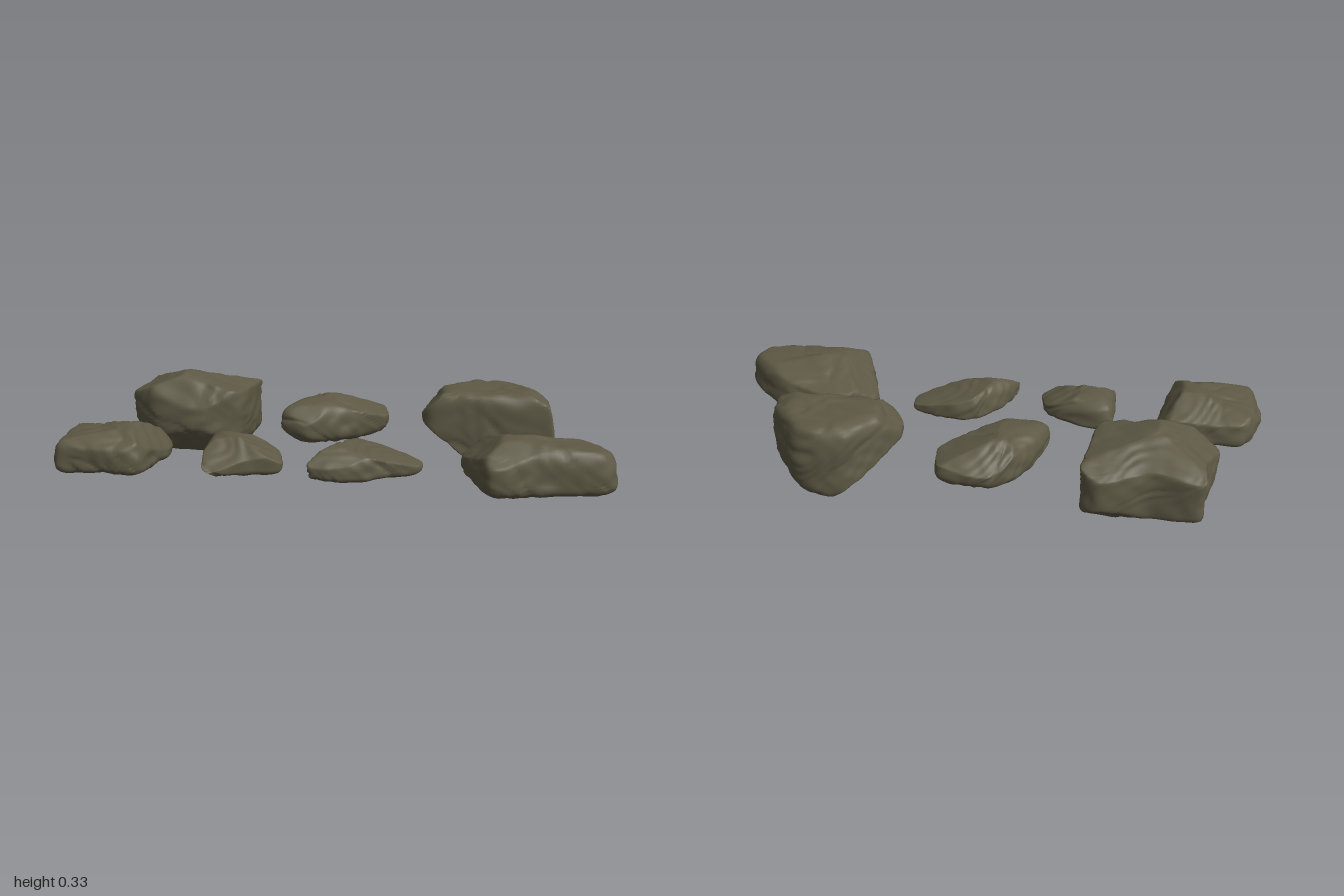
import * as THREE from 'three';

const stone = new THREE.MeshStandardMaterial({ color: 0x5e5945 });
stone.name = 'mossyStone';

const AROUND = 96, ROWS = 48;

// Flat chisel cuts: a point on the face, and the tilt of its normal from the axis towards up
function cut(axis, along, y, degrees) {
  const a = THREE.MathUtils.degToRad(degrees);
  const n = axis.clone().multiplyScalar(Math.cos(a));
  n.y = Math.sin(a);
  return { n, d: along * Math.cos(a) + y * Math.sin(a) };
}
const cutX = (x, y, degrees) => cut(new THREE.Vector3(1, 0, 0), x, y, degrees);
const cutZ = (z, y, degrees) => cut(new THREE.Vector3(0, 0, 1), z, y, degrees);

// Weathered surface: broad undulation, fine pitting and a few narrow cracks
function weather({ x, y, z }, seed) {
  const broad = Math.sin(19 * x + 11 * y + seed) * Math.sin(23 * z - 9 * y + seed * 2)
    + 0.6 * Math.sin(37 * y + 17 * x - 13 * z + seed * 3);
  const fine = Math.sin(61 * x + 4 * broad + seed) * Math.sin(53 * z + 47 * y + 2 * broad);
  const crack = Math.pow(1 - Math.abs(Math.sin(14 * y + 9 * x - 8 * z + 0.6 * broad + seed)), 8);
  return 0.004 * broad + 0.003 * fine - 0.007 * crack;
}

// A rock: plan outline [x, z], lowest, widest and highest level, boxiness and cuts
function makeRock(name, outline, low, waist, high, box, cuts) {
  const corners = outline.map(([x, z]) => new THREE.Vector3(x, 0, z));
  const rim = new THREE.CatmullRomCurve3(corners, true, 'catmullrom', 0.3).getSpacedPoints(AROUND).slice(0, AROUND);
  const centre = rim.reduce((sum, p) => sum.add(p), new THREE.Vector3()).divideScalar(AROUND);
  centre.y = (low + high) / 2;
  const seed = centre.x * 9 + centre.z * 5;

  const positions = [], index = [];
  const addPoint = (p) => {
    for (const { n, d } of cuts) p.addScaledVector(n, -0.93 * Math.max(0, p.dot(n) - d));
    const out = p.clone().sub(centre).normalize();
    p.addScaledVector(out, weather(p, seed));
    positions.push(p.x, Math.max(p.y, 0), p.z);
  };

  // Rounded-box profile swept around the outline, from the underside to the top
  for (let j = 1; j < ROWS; j++) {
    const a = -Math.PI / 2 + (Math.PI * j) / ROWS;
    const c = Math.cos(a), s = Math.sin(a);
    const k = Math.pow(Math.pow(Math.abs(c), box) + Math.pow(Math.abs(s), box), -1 / box);
    for (const r of rim) {
      const p = centre.clone().lerp(r, c * k);
      p.y = waist + s * k * (s > 0 ? high - waist : waist - low);
      addPoint(p);
    }
  }
  addPoint(new THREE.Vector3(centre.x, low, centre.z));
  addPoint(new THREE.Vector3(centre.x, high, centre.z));

  const bottom = (ROWS - 1) * AROUND, top = bottom + 1, last = bottom - AROUND;
  for (let i = 0; i < AROUND; i++) {
    const n = (i + 1) % AROUND;
    for (let row = 0; row < last; row += AROUND) {
      const a = row + i, b = row + n;
      index.push(a, a + AROUND, b, b, a + AROUND, b + AROUND);
    }
    index.push(bottom, i, n, top, last + n, last + i);
  }

  const geometry = new THREE.BufferGeometry();
  geometry.setAttribute('position', new THREE.Float32BufferAttribute(positions, 3));
  geometry.setIndex(index);
  geometry.computeVertexNormals();
  const mesh = new THREE.Mesh(geometry, stone);
  mesh.name = name;
  return mesh;
}

export function createModel() {
  const group = new THREE.Group();
  group.name = 'rocks';

  // Front row, from the model's right to its left
  group.add(makeRock('frontSlabRock',
    [[-0.91, 0.08], [-0.6, 0.1], [-0.65, 0.34], [-0.77, 0.365], [-0.945, 0.355], [-0.995, 0.235]],
    0.07, 0.12, 0.235, 4,
    [cutX(-0.65, 0.185, 40), cutX(-0.95, 0.185, 140), cutX(-0.85, 0.213, 102), cutZ(0.34, 0.195, 50), cutZ(0.13, 0.2, 115)]));
  group.add(makeRock('frontSmallRock',
    [[-0.43, 0.12], [-0.29, 0.13], [-0.18, 0.18], [-0.16, 0.28], [-0.3, 0.315], [-0.43, 0.35]],
    0.08, 0.115, 0.205, 3.5,
    [cutX(-0.23, 0.165, 62), cutZ(0.3, 0.15, 48), cutX(-0.4, 0.1, 233)]));
  group.add(makeRock('frontSlantedRock',
    [[-0.06, 0.325], [0, 0.2], [0.085, 0.11], [0.18, 0.1], [0.325, 0.145], [0.31, 0.22], [0.085, 0.32]],
    0.075, 0.11, 0.205, 3.5,
    [cutX(0.13, 0.17, 74), cutZ(0.3, 0.16, 48), cutX(-0.03, 0.17, 130)]));
  group.add(makeRock('frontWedgeRock',
    [[0.47, 0.14], [0.6, 0.04], [0.805, 0.085], [0.92, 0.16], [0.995, 0.26], [0.955, 0.32], [0.725, 0.36], [0.565, 0.4]],
    0.06, 0.12, 0.257, 3.6,
    [cutX(0.53, 0.19, 128), cutX(0.85, 0.235, 83), cutZ(0.14, 0.22, 110), cutZ(0.34, 0.225, 55)]));

  // Back row, from the model's right to its left
  group.add(makeRock('backTallRock',
    [[-0.82, -0.17], [-0.78, -0.29], [-0.77, -0.39], [-0.6, -0.36], [-0.43, -0.41],
      [-0.36, -0.36], [-0.37, -0.21], [-0.395, -0.11], [-0.53, -0.05], [-0.715, -0.085]],
    0.02, 0.17, 0.33, 5,
    [cutX(-0.7, 0.29, 112), cutX(-0.45, 0.28, 74), cutZ(-0.33, 0.265, 118),
      cutZ(-0.08, 0.25, 35), cutZ(-0.06, 0.12, -35), cutZ(-0.38, 0.08, 229), cutX(-0.76, 0.07, 225)]));
  group.add(makeRock('backRoughRock',
    [[-0.22, -0.065], [-0.2, -0.155], [-0.11, -0.3], [-0.03, -0.355], [0.145, -0.325], [0.155, -0.2], [0, -0.09], [-0.12, -0.015]],
    0.085, 0.16, 0.247, 3.4,
    [cutX(0.05, 0.21, 70), cutZ(-0.3, 0.2, 125), cutZ(-0.04, 0.2, 45), cutX(-0.18, 0.12, 233)]));
  group.add(makeRock('backBlockRock',
    [[0.305, -0.18], [0.46, -0.34], [0.58, -0.355], [0.67, -0.32], [0.8, -0.13], [0.77, -0.09], [0.35, -0.095]],
    0, 0.15, 0.3, 7,
    [cutX(0.41, 0.1, 232), cutX(0.74, 0.28, 63), cutX(0.79, 0.17, 11), cutX(0.7, 0.025, -76), cutX(0.35, 0.26, 137)]));
  return group;
}
